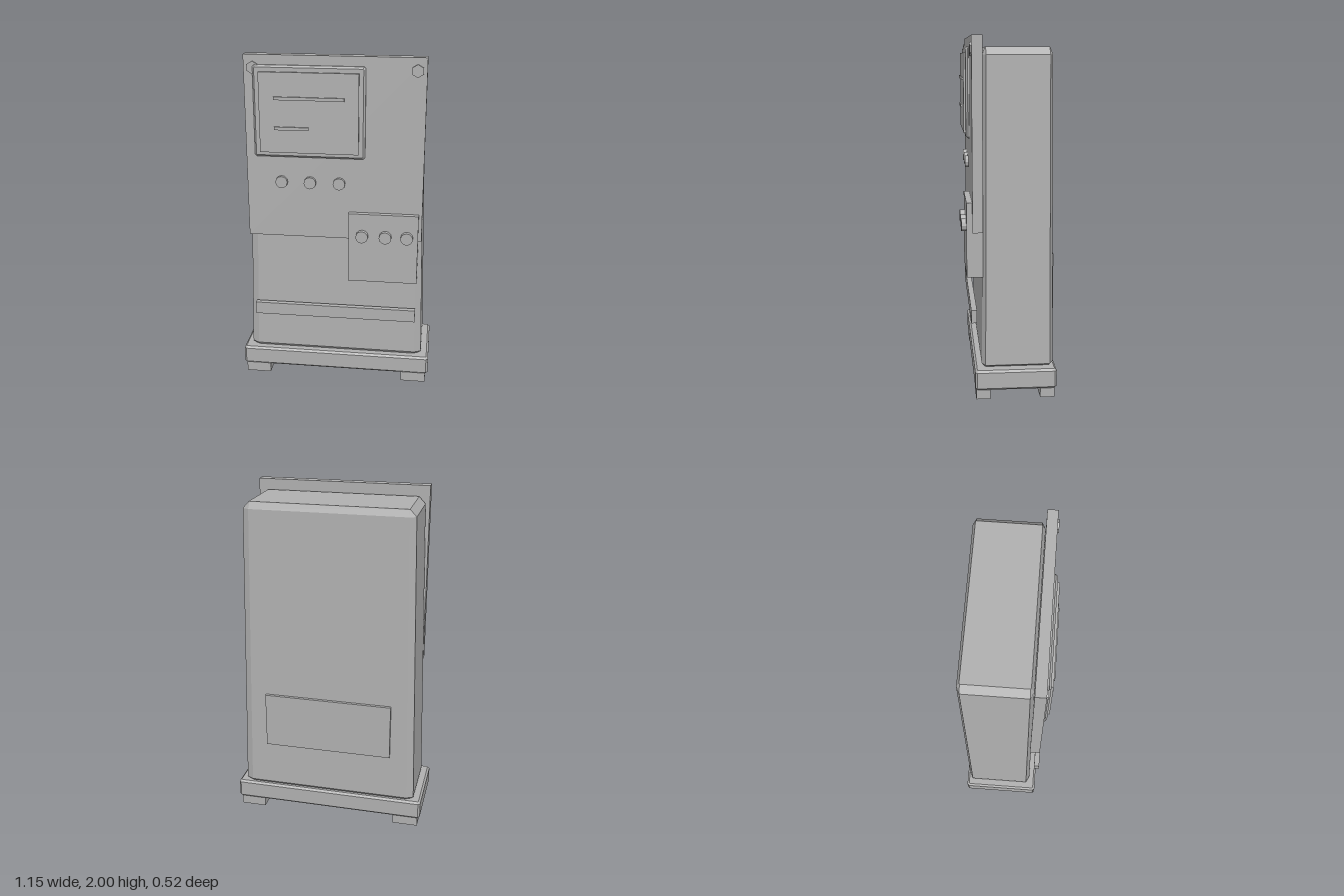
import * as THREE from 'three';

export function createModel() {
  const model = new THREE.Group();
  model.name = 'controlCabinet';
  const grey = new THREE.MeshStandardMaterial({ color: 0xb0b0b0, flatShading: true });
  grey.name = 'plain grey';

  const add = (name, geometry) => {
    const mesh = new THREE.Mesh(geometry, grey);
    mesh.name = name;
    model.add(mesh);
    return mesh;
  };

  // Box given by its limits on each axis
  const box = (name, x0, x1, y0, y1, z0, z1) =>
    add(name, new THREE.BoxGeometry(x1 - x0, y1 - y0, z1 - z0)
      .translate((x0 + x1) / 2, (y0 + y1) / 2, (z0 + z1) / 2));

  // Loft of rectangles with cut corners; ring = [y, halfX, zBack, zFront, cutX, cutZ]
  const loft = (rings) => {
    const pos = [], idx = [];
    for (const [y, h, b, f, cx, cz] of rings) {
      const outline = [
        [h - cx, f], [h, f - cz], [h, b + cz], [h - cx, b],
        [cx - h, b], [-h, b + cz], [-h, f - cz], [cx - h, f],
      ];
      for (const [x, z] of outline) pos.push(x, y, z);
    }
    for (let r = 0; r < rings.length - 1; r++) {
      for (let i = 0; i < 8; i++) {
        const a = r * 8 + i, n = r * 8 + (i + 1) % 8;
        idx.push(a, n, n + 8, a, n + 8, a + 8);
      }
    }
    const top = (rings.length - 1) * 8;
    for (let i = 1; i < 7; i++) {
      idx.push(0, i + 1, i, top, top + i, top + i + 1);
    }
    const g = new THREE.BufferGeometry();
    g.setAttribute('position', new THREE.Float32BufferAttribute(pos, 3));
    g.setIndex(idx);
    const flat = g.toNonIndexed();
    flat.computeVertexNormals();
    return flat;
  };

  // Round or hexagonal stud facing forward
  const stud = (name, x, y, r, z0, z1, sides) =>
    add(name, new THREE.CylinderGeometry(r, r, z1 - z0, sides)
      .rotateX(Math.PI / 2).translate(x, y, (z0 + z1) / 2));

  // Tapered cabinet and plinth
  add('cabinet', loft([
    [0.17, 0.505, -0.235, 0.145, 0.025, 0.012],
    [0.185, 0.528, -0.247, 0.155, 0.04, 0.02],
    [1.90, 0.485, -0.238, 0.143, 0.037, 0.018],
    [1.94, 0.448, -0.222, 0.127, 0.005, 0.003],
  ]));
  add('plinth', loft([
    [0.055, 0.563, -0.25, 0.183, 0.005, 0.005],
    [0.067, 0.575, -0.262, 0.195, 0.012, 0.012],
    [0.158, 0.575, -0.262, 0.195, 0.012, 0.012],
    [0.17, 0.563, -0.25, 0.183, 0.005, 0.005],
  ]));

  // Feet
  for (const x of [-0.56, 0.41]) {
    box('frontFoot', x, x + 0.15, 0, 0.06, 0.11, 0.19);
    box('rearFoot', x, x + 0.15, 0, 0.06, -0.25, -0.17);
  }

  // Front panel, lower strip and rear cover
  box('frontPanel', -0.507, 0.507, 0.94, 2, 0.145, 0.203);
  box('lowerStrip', -0.485, 0.485, 0.42, 0.495, 0.18, 0.212);
  box('rearCover', -0.38, 0.38, 0.455, 0.785, -0.262, -0.235);

  // Screen with bevelled frame and two raised lines
  const frame = add('screenFrame', loft([
    [0.195, 0.315, -0.26, 0.26, 0.01, 0.01],
    [0.211, 0.315, -0.26, 0.26, 0.01, 0.01],
    [0.222, 0.304, -0.249, 0.249, 0.004, 0.004],
  ]).rotateX(Math.PI / 2));
  frame.position.set(-0.14, 1.685, 0);
  box('screen', -0.42, 0.14, 1.455, 1.91, 0.21, 0.234);
  box('longScreenLine', -0.335, 0.06, 1.757, 1.775, 0.23, 0.243);
  box('shortScreenLine', -0.335, -0.14, 1.587, 1.605, 0.23, 0.243);

  // Hexagonal bolts and round buttons
  for (const x of [-0.455, 0.455]) stud('bolt', x, 1.928, 0.036, 0.195, 0.212, 6);
  for (const x of [-0.305, -0.14, 0.028]) stud('button', x, 1.275, 0.035, 0.195, 0.224, 12);

  // Control box with knobs
  box('controlBox', 0.085, 0.488, 0.685, 1.105, 0.145, 0.235);
  for (const x of [0.165, 0.3, 0.424]) stud('knob', x, 0.972, 0.036, 0.225, 0.262, 12);

  return model;
}
